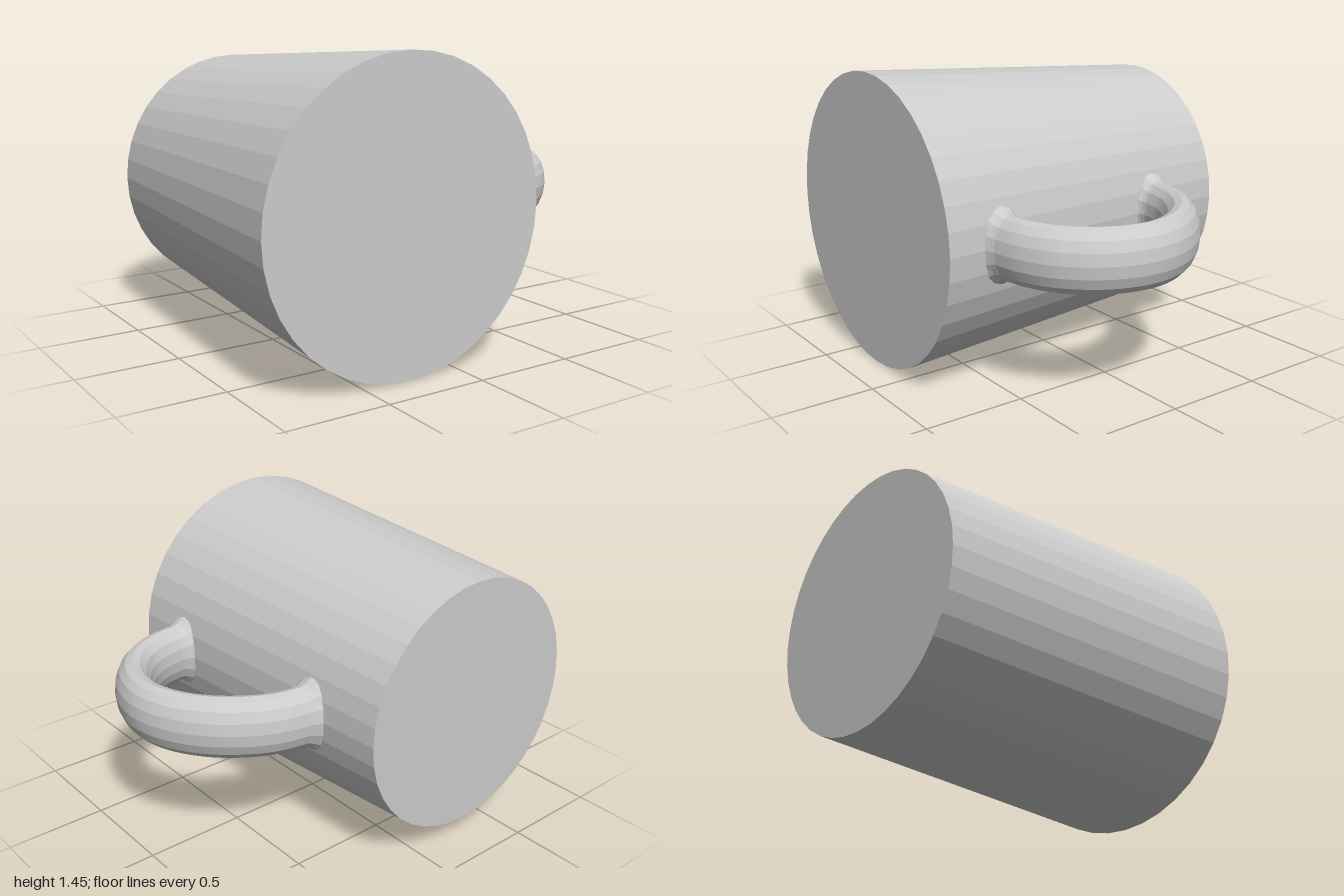
import * as THREE from 'three';

const CX = -0.275, CY = 0.725, FRONT_R = 0.725, BACK_R = 0.622, HALF = 0.83;

// Body radius at a given z along the taper
const bodyRadius = (z) => THREE.MathUtils.mapLinear(z, -HALF, HALF, BACK_R, FRONT_R);

function makeHandle() {
  // Centre line of the handle in the horizontal plane, as [x, z]
  const path = new THREE.CatmullRomCurve3([
    [0.3, -0.415], [0.42, -0.405], [0.57, -0.365], [0.75, -0.24], [0.87, -0.07], [0.91, 0.1],
    [0.865, 0.29], [0.74, 0.44], [0.6, 0.51], [0.46, 0.535], [0.34, 0.54],
  ].map(([x, z]) => new THREE.Vector3(x, 0, z)));
  const rings = 64, sides = 16;
  const geo = new THREE.TubeGeometry(path, rings, 0.091, sides);
  const pos = geo.attributes.position;
  const v = new THREE.Vector3();
  for (let i = 0; i < pos.count; i++) {
    const centre = path.getPointAt(Math.floor(i / (sides + 1)) / rings);
    v.fromBufferAttribute(pos, i).sub(centre);
    // Oval section, flared where it blends into the body
    const gap = Math.hypot(centre.x + v.x - CX, v.y * 1.67) - bodyRadius(centre.z);
    const near = THREE.MathUtils.clamp(1 - gap / 0.06, 0, 1);
    v.multiplyScalar(1 + 0.22 * near * near);
    pos.setXYZ(i, centre.x + v.x, v.y * 1.67, centre.z + v.z);
  }
  geo.computeVertexNormals();
  return geo;
}

export function createModel() {
  const group = new THREE.Group();
  group.name = 'mug';
  const grey = new THREE.MeshStandardMaterial({ color: 0xcccccc, flatShading: true });
  grey.name = 'grey';

  // Tapered closed body lying along z, wide end at the front
  const body = new THREE.Mesh(
    new THREE.CylinderGeometry(FRONT_R, BACK_R, HALF * 2, 40).rotateX(Math.PI / 2), grey);
  body.name = 'body';
  body.position.set(CX, CY, 0);
  group.add(body);

  // Curved side handle
  const handle = new THREE.Mesh(makeHandle(), grey);
  handle.name = 'handle';
  handle.position.y = CY;
  group.add(handle);

  return group;
}
